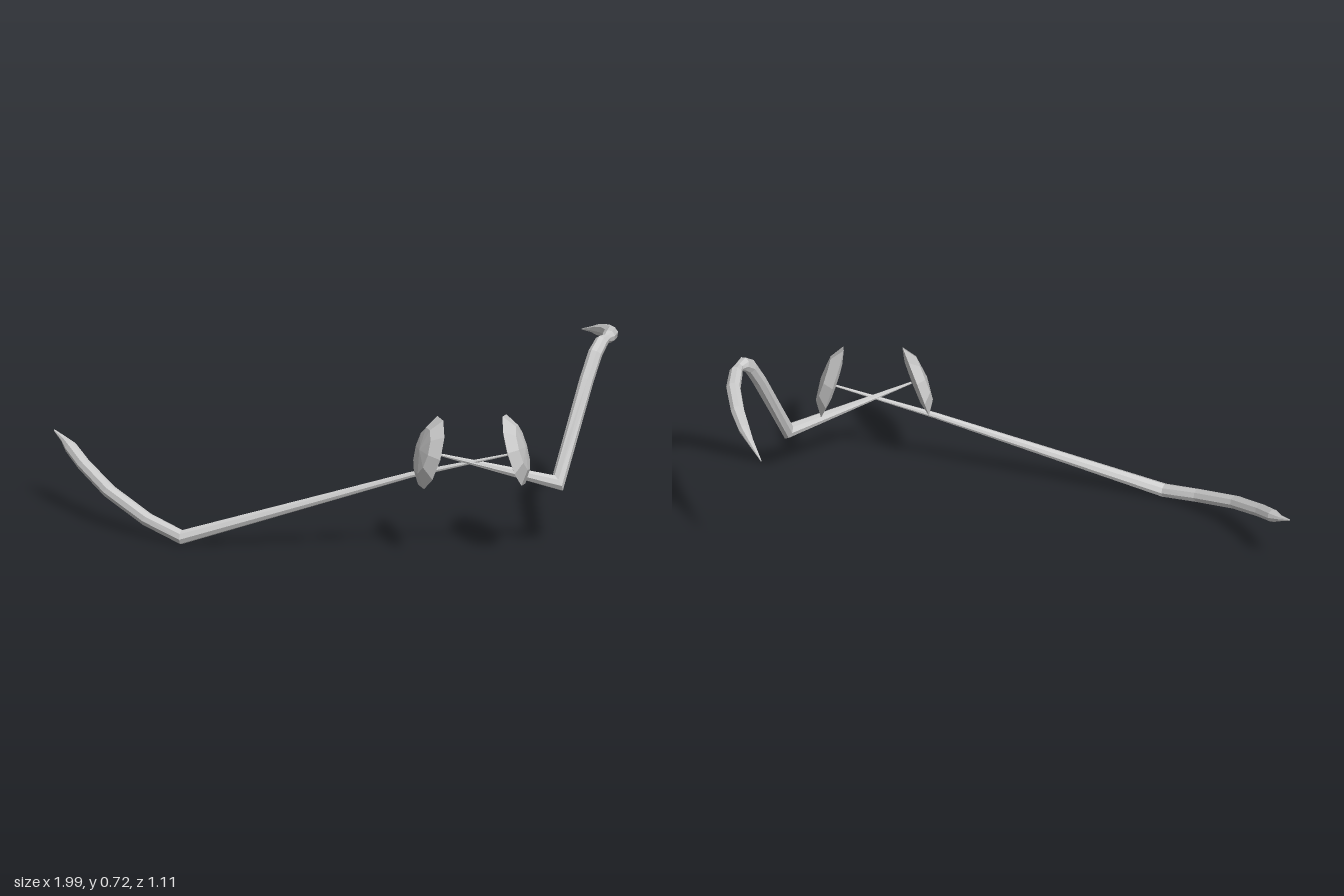
import * as THREE from 'three';

const SIDES = 8;
const material = new THREE.MeshStandardMaterial({
  color: 0xcccccc, flatShading: true, side: THREE.DoubleSide,
});

// Sweeps a faceted tube through [x, y, z, radius] stations, mitred at bends.
function taperedTube(stations) {
  const pts = stations.map(([x, y, z]) => new THREE.Vector3(x, y, z));
  const last = pts.length - 1;
  const dirs = pts.slice(1).map((p, i) => p.clone().sub(pts[i]).normalize());
  const positions = [], index = [];
  let side = new THREE.Vector3(0, 1, 0);
  pts.forEach((p, i) => {
    const before = dirs[Math.max(i - 1, 0)], after = dirs[Math.min(i, last - 1)];
    const tangent = before.clone().add(after).normalize();
    side = side.clone().addScaledVector(tangent, -side.dot(tangent)).normalize();
    const up = new THREE.Vector3().crossVectors(tangent, side);
    const bend = after.clone().sub(before);
    const stretch = Math.min(1 / tangent.dot(after), 1.4) - 1;
    if (bend.length() > 1e-4) bend.normalize();
    for (let k = 0; k < SIDES; k++) {
      const a = (k / SIDES) * Math.PI * 2;
      const offset = side.clone().multiplyScalar(Math.cos(a)).addScaledVector(up, Math.sin(a));
      offset.addScaledVector(bend, offset.dot(bend) * stretch).multiplyScalar(stations[i][3]);
      positions.push(...p.clone().add(offset).toArray());
      if (i < last) {
        const n = (k + 1) % SIDES, r = i * SIDES, s = r + SIDES;
        index.push(r + k, r + n, s + n, r + k, s + n, s + k);
      }
    }
  });
  // End caps
  for (let k = 1; k < SIDES - 1; k++) {
    const e = last * SIDES;
    index.push(0, k + 1, k, e, e + k, e + k + 1);
  }
  const geometry = new THREE.BufferGeometry();
  geometry.setAttribute('position', new THREE.Float32BufferAttribute(positions, 3));
  geometry.setIndex(index);
  geometry.computeVertexNormals();
  return geometry;
}

function addMesh(parent, name, geometry) {
  const mesh = new THREE.Mesh(geometry, material);
  mesh.name = name;
  parent.add(mesh);
  return mesh;
}

// Shallow domed pad, almost flat on the arm side
function padGeometry() {
  const profile = [[0, -0.014], [0.08, -0.012], [0.135, 0], [0.085, 0.034], [0, 0.044]];
  return new THREE.LatheGeometry(profile.map(([r, y]) => new THREE.Vector2(r, y)), 10);
}

// One limb: pad, thin upper arm, thick curved forearm and pointed claw
function makeLimb(name, { pad, upper, fore, claw }) {
  const limb = new THREE.Group();
  limb.name = name;
  const elbow = fore[0];
  addMesh(limb, 'arm', taperedTube([...upper, ...fore, ...claw]));
  const disc = addMesh(limb, 'pad', padGeometry());
  disc.position.set(...pad);
  const outward = new THREE.Vector3(...pad)
    .sub(new THREE.Vector3(elbow[0], elbow[1], elbow[2])).normalize();
  disc.quaternion.setFromUnitVectors(new THREE.Vector3(0, 1, 0), outward);
  return limb;
}

export function createModel() {
  const model = new THREE.Group();
  model.name = 'pairOfLimbs';

  // Long limb reaching to -x
  model.add(makeLimb('rightLimb', {
    pad: [0.765, 0.395, 0.287],
    upper: [[0.755, 0.38, 0.289, 0.004], [0.4, 0.288, 0.353, 0.011]],
    fore: [
      [-0.405, 0.03, 0.525, 0.025], [-0.55, 0.07, 0.478, 0.025],
      [-0.72, 0.135, 0.392, 0.025], [-0.85, 0.195, 0.29, 0.024],
      [-0.92, 0.232, 0.222, 0.023],
    ],
    claw: [[-0.955, 0.25, 0.192, 0.012], [-1, 0.271, 0.163, 0.003]],
  }));

  // Raised limb reaching up and back
  model.add(makeLimb('leftLimb', {
    pad: [0.487, 0.39, 0.393],
    upper: [[0.5, 0.386, 0.386, 0.004]],
    fore: [
      [0.885, 0.245, 0.15, 0.025], [0.933, 0.58, -0.035, 0.026],
      [0.949, 0.667, -0.087, 0.026], [0.96, 0.7, -0.125, 0.024],
      [0.967, 0.704, -0.155, 0.016], [0.967, 0.702, -0.185, 0.024],
      [0.95, 0.69, -0.265, 0.026], [0.9, 0.667, -0.365, 0.025],
      [0.85, 0.645, -0.437, 0.021],
    ],
    claw: [[0.81, 0.63, -0.485, 0.012], [0.747, 0.606, -0.553, 0.002]],
  }));

  return model;
}
